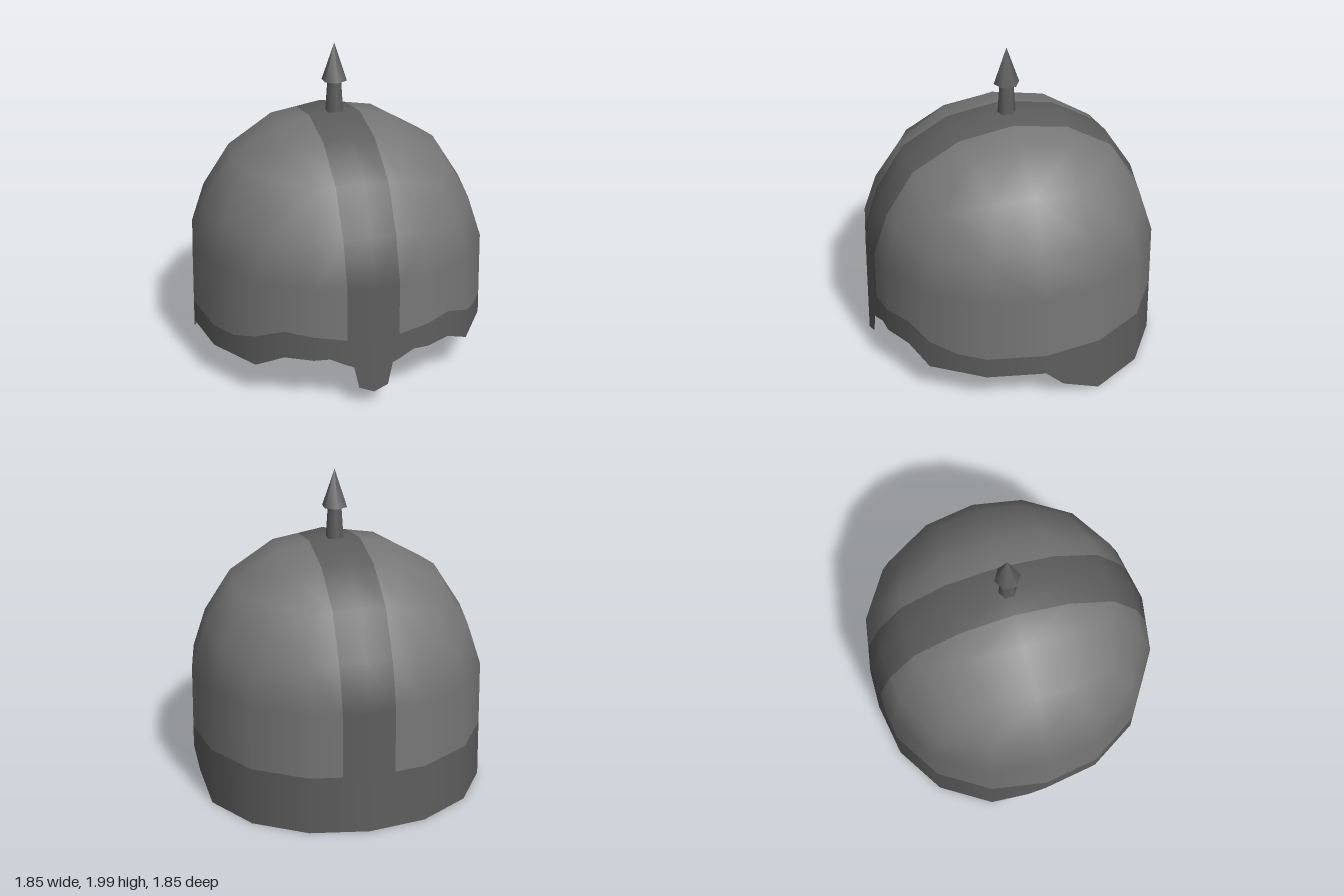
import * as THREE from 'three';

const R = 0.915, H = 0.8, BASE = 0.78, STRIP = 0.16;

// Point on the dome for a direction: a slightly squared ellipsoid above BASE
function domePoint(x, y, z) {
  const d = new THREE.Vector3(x, y, z).normalize();
  const h = d.y;
  const bump = h < 0.75 ? Math.sin(Math.PI * h / 0.75) : 0;
  const square = 1 + 0.024 * (1 - h * h) * Math.sin(2 * Math.atan2(d.x, d.z)) ** 2;
  const r = R * square * (1 - 0.025 * bump);
  return new THREE.Vector3(d.x * r, BASE + h * H - 0.03 * bump, d.z * r);
}

// Smooth outward normal: ellipsoid above BASE, upright wall below
function normalAt(p) {
  return new THREE.Vector3(p.x / (R * R), Math.max(0, p.y - BASE) / (H * H), p.z / (R * R)).normalize();
}

// Keep the part of a polygon where sign * (x - limit) >= 0
function clip(poly, limit, sign) {
  const out = [];
  poly.forEach((a, i) => {
    const b = poly[(i + 1) % poly.length];
    const da = sign * (a.x - limit), db = sign * (b.x - limit);
    if (da >= 0) out.push(a);
    if ((da > 0 && db < 0) || (da < 0 && db > 0)) out.push(a.clone().lerp(b, da / (da - db)));
  });
  return out;
}

// Collects outward-facing polygons into one geometry
class Surface {
  constructor() { this.pos = []; this.nor = []; }
  add(poly) {
    for (let i = 1; i + 1 < poly.length; i++) {
      let [a, b, c] = [poly[0], poly[i], poly[i + 1]];
      const face = b.clone().sub(a).cross(c.clone().sub(a));
      if (face.length() < 1e-8) continue;
      const mid = a.clone().add(b).add(c).divideScalar(3);
      if (face.dot(normalAt(mid)) < 0) [b, c] = [c, b];
      for (const p of [a, b, c]) {
        this.pos.push(p.x, p.y, p.z);
        this.nor.push(...normalAt(p).toArray());
      }
    }
  }
  mesh(name, material) {
    const g = new THREE.BufferGeometry();
    g.setAttribute('position', new THREE.Float32BufferAttribute(this.pos, 3));
    g.setAttribute('normal', new THREE.Float32BufferAttribute(this.nor, 3));
    const m = new THREE.Mesh(g, material);
    m.name = name;
    return m;
  }
}

// Point on the 16-sided wall; u counts sides from the front centre
function wallPoint(u, y, side) {
  const corner = (k) => domePoint(Math.sin(k * Math.PI / 8), 0, Math.cos(k * Math.PI / 8));
  const k = Math.floor(u);
  const p = corner(k).lerp(corner(k + 1), u - k);
  p.multiplyScalar(1 + 0.012 * (BASE - y) / BASE);
  return new THREE.Vector3(p.x * side, y, p.z);
}

// Half rim, front to back: [side position, bottom edge y, band top y]
const RIM = [
  [0, 0.10, 0.45], [0.25, 0.13, 0.45], [0.336, 0.27, 0.45], [0.452, 0.285, 0.45],
  [0.73, 0.33, 0.465], [1, 0.327, 0.48], [1.5, 0.32, 0.49], [2, 0.24, 0.43],
  [2.5, 0.24, 0.375], [3, 0.24, 0.375], [4, 0.24, 0.375], [4.33, 0.12, 0.375],
  [5, 0.01, 0.375], [6, 0.01, 0.375], [7, 0.01, 0.375], [7.55, 0.01, 0.375], [8, 0.01, 0.375],
];

export function createModel() {
  const group = new THREE.Group();
  const shellMat = new THREE.MeshStandardMaterial({ color: 0x787878, side: THREE.DoubleSide });
  const trimMat = new THREE.MeshStandardMaterial({ color: 0x5e5e5e, side: THREE.DoubleSide });
  const shell = new Surface(), strip = new Surface(), band = new Surface();

  // Splits a polygon between the centre strip and the shell on either side
  const split = (poly) => {
    shell.add(clip(poly, STRIP, 1));
    shell.add(clip(poly, -STRIP, -1));
    strip.add(clip(clip(poly, STRIP, -1), -STRIP, 1));
  };

  // Dome: top patch plus the upper half of four side patches
  const t = (i) => Math.tan(i * Math.PI / 8);
  const patches = [
    [(a, b) => domePoint(a, 1, b), -2],
    [(a, b) => domePoint(a, b, 1), 0],
    [(a, b) => domePoint(a, b, -1), 0],
    [(a, b) => domePoint(1, b, a), 0],
    [(a, b) => domePoint(-1, b, a), 0],
  ];
  for (const [at, start] of patches) {
    for (let i = -2; i < 2; i++) {
      for (let j = start; j < 2; j++) {
        split([at(t(i), t(j)), at(t(i + 1), t(j)), at(t(i + 1), t(j + 1)), at(t(i), t(j + 1))]);
      }
    }
  }

  // Upright wall and the rim band with nose guard and neck guard
  for (const side of [1, -1]) {
    for (let i = 0; i + 1 < RIM.length; i++) {
      const [u0, b0, t0] = RIM[i], [u1, b1, t1] = RIM[i + 1];
      const w = (u, y) => wallPoint(u, y, side);
      split([w(u0, t0), w(u1, t1), w(u1, BASE), w(u0, BASE)]);
      band.add([w(u0, b0), w(u1, b1), w(u1, t1), w(u0, t0)]);
    }
  }
  group.add(shell.mesh('shell', shellMat), strip.mesh('centreStrip', trimMat), band.mesh('rimBand', trimMat));

  // Spike on the crown
  const spike = new THREE.Group();
  spike.name = 'spike';
  const shaft = new THREE.Mesh(new THREE.CylinderGeometry(0.043, 0.058, 0.22, 6), trimMat);
  shaft.name = 'spikeShaft';
  shaft.position.y = 1.665;
  const tip = new THREE.Mesh(new THREE.ConeGeometry(0.08, 0.235, 6), trimMat);
  tip.name = 'spikeTip';
  tip.position.y = 1.8825;
  spike.add(shaft, tip);
  group.add(spike);

  return group;
}
